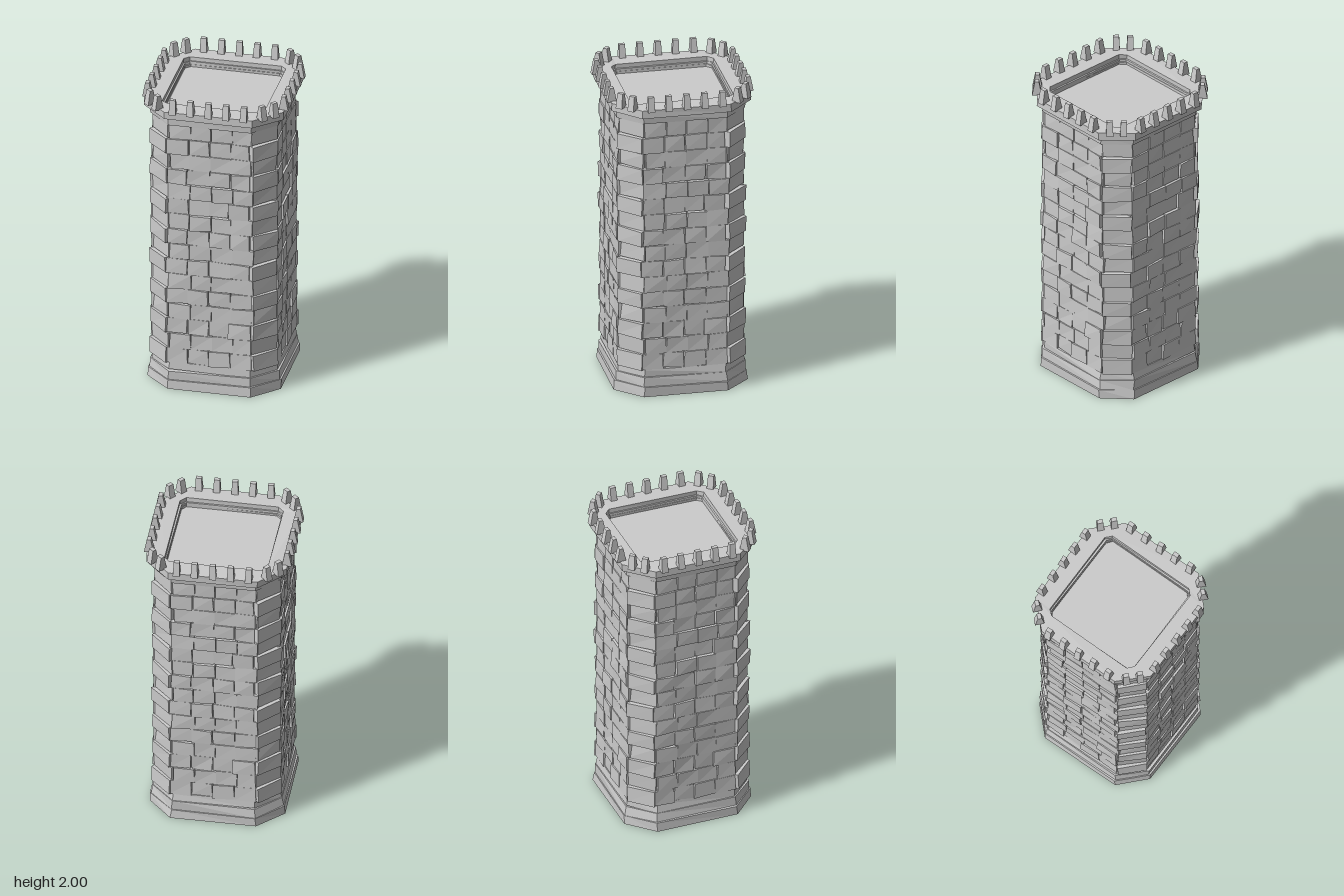
import * as THREE from 'three';

const stone = new THREE.MeshStandardMaterial({ color: 0xcccccc, flatShading: true });

// Seeded value in -1..1
const noise = (n) => {
  const s = Math.sin(n * 12.9898 + 4.137) * 43758.5453;
  return 2 * (s - Math.floor(s)) - 1;
};

// Shift corners by an amount tied to their position, so shared corners stay joined
function roughen(geometry, amount, seed) {
  const g = geometry.index ? geometry.toNonIndexed() : geometry;
  const p = g.attributes.position;
  for (let i = 0; i < p.count; i++) {
    const [x, y, z] = [p.getX(i), p.getY(i), p.getZ(i)].map((v) => Math.round(v * 1000) / 1000);
    const h = seed + x * 31.7 + y * 57.3 + z * 83.9;
    p.setXYZ(i, x + amount * noise(h), Math.max(0, y + (y > 0 || seed ? amount * noise(h + 1) : 0)), z + amount * noise(h + 2));
  }
  g.computeVertexNormals();
  return g;
}

function addMesh(parent, name, geometry) {
  const mesh = new THREE.Mesh(geometry, stone);
  mesh.name = name;
  parent.add(mesh);
  return mesh;
}

// Square outline of half width r whose straight sides end at c
const outline = (r, c) => [[c, r], [-c, r], [-r, c], [-r, -c], [-c, -r], [c, -r], [r, -c], [r, c]]
  .map(([x, y]) => new THREE.Vector2(x, y));

// Chamfered square slab or ring between two heights; the outer rim narrows by taper
function slab(y0, y1, r, c, hole, taper = 0, rough = 0.004) {
  const shape = new THREE.Shape(outline(r, c));
  if (hole) shape.holes.push(new THREE.Path(outline(hole[0], hole[1])));
  const g = new THREE.ExtrudeGeometry(shape, { depth: y1 - y0, bevelEnabled: false });
  g.rotateX(-Math.PI / 2).translate(0, y0, 0);
  const p = g.attributes.position;
  for (let i = 0; i < p.count; i++) {
    const x = p.getX(i), z = p.getZ(i);
    if (p.getY(i) > (y0 + y1) / 2 && Math.max(Math.abs(x), Math.abs(z)) > r - 0.01) {
      p.setX(i, x * (1 - taper / r));
      p.setZ(i, z * (1 - taper / r));
    }
  }
  return roughen(g, rough, 0);
}

// One rough block with its outer face at z = front
function brick(parent, name, x, y, front, w, h, d, seed) {
  const g = roughenBox(w, h, d, seed);
  const mesh = addMesh(parent, name, g);
  mesh.position.set(x, y, front - d / 2);
  mesh.rotation.set(0.02 * noise(seed + 3), 0.025 * noise(seed + 4), 0.02 * noise(seed + 5));
}

function roughenBox(w, h, d, seed) {
  // Lift above zero while roughening, then centre again
  const g = roughen(new THREE.BoxGeometry(w, h, d).translate(0, 1, 0), 0.004, seed);
  return g.translate(0, -1, 0);
}

// Battlement stone, narrowing to its top
function merlon(parent, x, z, seed) {
  const g = new THREE.BoxGeometry(0.043, 0.094, 0.06).toNonIndexed();
  const p = g.attributes.position;
  for (let i = 0; i < p.count; i++) {
    if (p.getY(i) > 0) p.setXYZ(i, p.getX(i) * 0.84, p.getY(i), p.getZ(i) * 0.42);
  }
  g.computeVertexNormals();
  const mesh = addMesh(parent, 'merlon', g);
  mesh.position.set(x, 1.952, z);
  mesh.rotation.set(0, 0.09 * noise(seed), 0.025 * noise(seed + 1));
}

export function createModel() {
  const tower = new THREE.Group();
  tower.name = 'tower';

  // Stepped plinth, open underneath
  addMesh(tower, 'plinthLower', slab(0, 0.06, 0.42, 0.265, [0.3, 0.27], 0.004, 0.005));
  addMesh(tower, 'plinthMiddle', slab(0.06, 0.12, 0.409, 0.26, [0.31, 0.28], 0.005, 0.005));
  addMesh(tower, 'plinthUpper', slab(0.12, 0.172, 0.397, 0.255, [0.32, 0.29], 0.005, 0.005));

  // Mortar behind the stones
  addMesh(tower, 'mortar', slab(0.15, 1.83, 0.375, 0.26, [0.345, 0.3], 0, 0));

  // Cornice, parapet walk and sunken roof
  addMesh(tower, 'cornice', slab(1.808, 1.868, 0.4, 0.26, [0.31, 0.28], -0.006, 0.003));
  addMesh(tower, 'parapet', slab(1.862, 1.913, 0.437, 0.278, [0.321, 0.288], 0, 0.003));
  addMesh(tower, 'roof', slab(1.82, 1.852, 0.33, 0.29, null, 0, 0));
  addMesh(tower, 'roofKerb', slab(1.84, 1.885, 0.335, 0.3, [0.312, 0.285], 0, 0.003));

  // Four equal quarters: a wall, a chamfered corner and their battlements
  const rows = 16, bottom = 0.17, rowHeight = (1.815 - bottom) / rows;
  for (let quarter = 0; quarter < 4; quarter++) {
    const side = new THREE.Group();
    side.name = 'wall';
    const corner = new THREE.Group();
    corner.name = 'corner';
    side.rotation.y = quarter * Math.PI / 2;
    corner.rotation.y = side.rotation.y + Math.PI / 4;
    tower.add(side, corner);

    for (let row = 0; row < rows; row++) {
      const y = bottom + (row + 0.5) * rowHeight;
      const edges = [-2, -1, 0, 1, 2].map((k) => k * 0.132 + (row % 2 ? 0.008 : -0.008) + 0.008 * noise(row * 9 + k));
      for (let k = 0; k < 4; k++) {
        const seed = 1 + row * 7.3 + k * 2.1;
        brick(side, 'wallStone', (edges[k] + edges[k + 1]) / 2, y, 0.395 + 0.006 * noise(seed),
          edges[k + 1] - edges[k] - 0.003, rowHeight - 0.003, 0.075, seed);
      }
      const proud = row % 2 === 0;
      brick(corner, 'cornerStone', 0.004 * noise(row), y, proud ? 0.479 : 0.463,
        proud ? 0.178 : 0.185, rowHeight - 0.003, 0.085, 200 + row * 3.7);
    }

    for (let k = -2; k <= 2; k++) merlon(side, k * 0.112, 0.428, 40 + k);
    for (const s of [-1, 1]) merlon(corner, s * 0.043, 0.508, 60 + s);
  }
  return tower;
}
